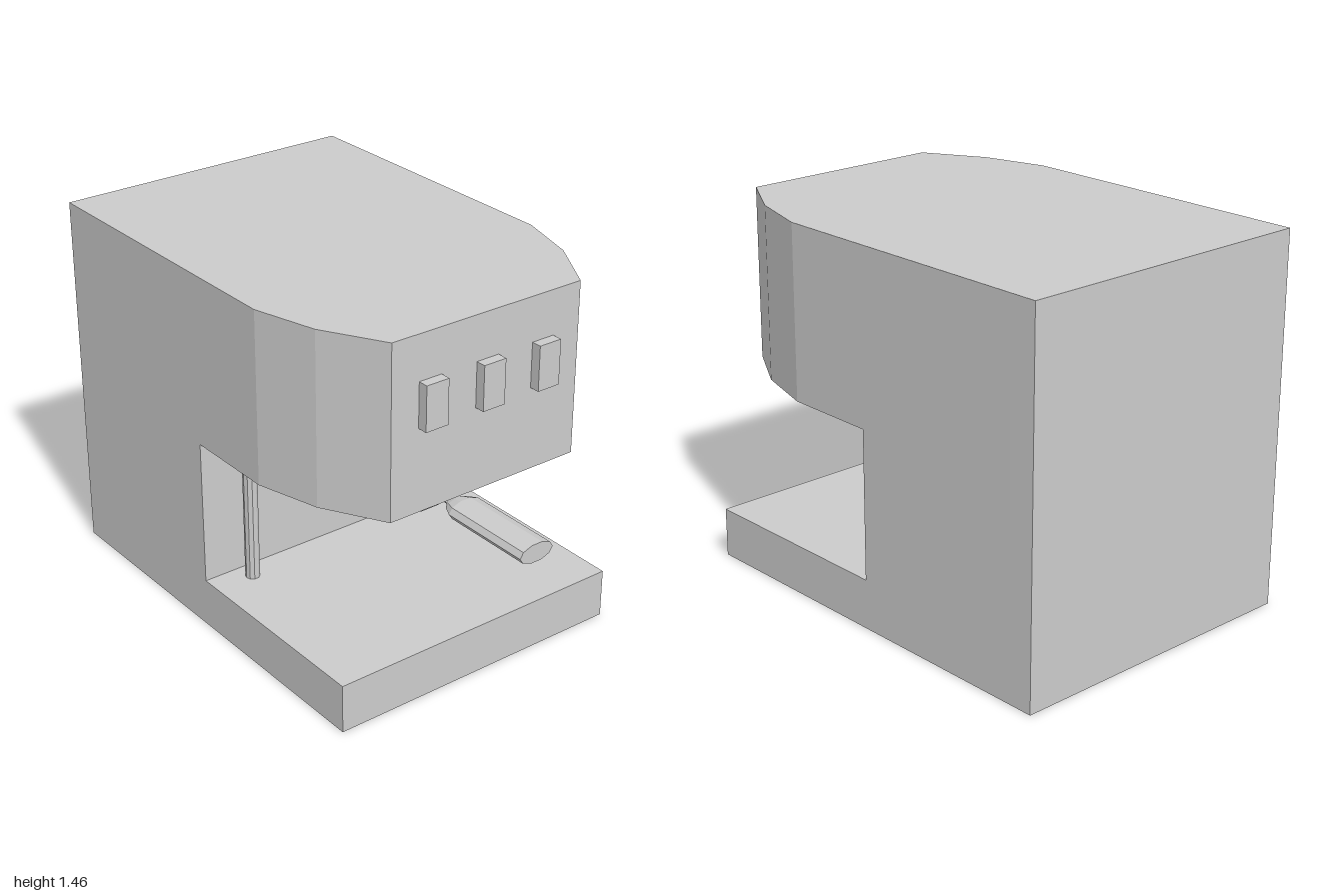
import * as THREE from 'three';

const material = new THREE.MeshStandardMaterial({ color: 0xcccccc, flatShading: true });

function add(parent, name, geometry, x = 0, y = 0, z = 0) {
  const mesh = new THREE.Mesh(geometry, material);
  mesh.name = name;
  mesh.position.set(x, y, z);
  parent.add(mesh);
  return mesh;
}

// Box given by its minimum and maximum corners
function addBox(parent, name, [x0, y0, z0], [x1, y1, z1]) {
  const geometry = new THREE.BoxGeometry(x1 - x0, y1 - y0, z1 - z0);
  return add(parent, name, geometry, (x0 + x1) / 2, (y0 + y1) / 2, (z0 + z1) / 2);
}

// Faceted turned part; profile runs [radius, height] from bottom to top
function turned(profile, sides = 10) {
  return new THREE.LatheGeometry(profile.map(([r, y]) => new THREE.Vector2(r, y)), sides);
}

export function createModel() {
  const model = new THREE.Group();
  model.name = 'espressoMachine';

  const back = -1, face = 0.715, half = 0.62;
  const baseTop = 0.195, headBottom = 0.78, top = 1.455;

  // Body: base tray, rear column and overhanging head with faceted corners
  addBox(model, 'base', [back, 0, -half], [face, baseTop, half]);
  addBox(model, 'column', [back, baseTop, -half], [-0.145, headBottom, half]);
  const corner = [[0.23, half], [0.48, 0.55], [face, 0.415]];
  const outline = [
    [back, -half],
    ...corner.map(([x, z]) => [x, -z]),
    ...corner.slice().reverse(),
    [back, half],
  ];
  const headShape = new THREE.Shape(outline.map(([x, z]) => new THREE.Vector2(x, z)));
  const headGeometry = new THREE.ExtrudeGeometry(headShape, { depth: top - headBottom, bevelEnabled: false });
  headGeometry.rotateX(-Math.PI / 2);
  add(model, 'head', headGeometry, 0, headBottom, 0);

  // Row of buttons
  for (const z of [-0.25, 0, 0.25]) {
    addBox(model, 'button', [face - 0.01, 1.105, z - 0.048], [0.755, 1.28, z + 0.048]);
  }

  // Brew group: collar and tapered filter holder
  const brew = new THREE.Group();
  brew.name = 'brewGroup';
  brew.position.x = 0.297;
  model.add(brew);
  add(brew, 'collar', turned([[0, 0.71], [0.238, 0.71], [0.238, headBottom], [0, headBottom]]));
  add(brew, 'filterHolder', turned([[0, 0.555], [0.13, 0.555], [0.207, 0.63], [0.207, 0.72], [0, 0.72]]));

  // Flattened handle on a thin neck, pointing along +x
  const handle = turned([[0, 0], [0.028, 0], [0.028, 0.1], [0.055, 0.13], [0.075, 0.17], [0.075, 0.55], [0, 0.55]]);
  handle.rotateZ(-Math.PI / 2);
  handle.scale(1, 0.5, 1);
  add(model, 'handle', handle, 0.45, 0.648, 0);

  // Water pipe standing on the base
  add(model, 'pipe', new THREE.CylinderGeometry(0.028, 0.028, headBottom - baseTop, 10),
    -0.07, (baseTop + headBottom) / 2, 0.457);

  // Steam wand with a mounting collar and bulbous nozzle
  add(model, 'steamWand', turned([
    [0, 0.305], [0.029, 0.305], [0.038, 0.325], [0.038, 0.345], [0.029, 0.365], [0.02, 0.365],
    [0.02, 0.705], [0.029, 0.71], [0.029, 0.74], [0.036, 0.75], [0.036, headBottom], [0, headBottom],
  ]), -0.017, 0, -0.426);

  return model;
}
